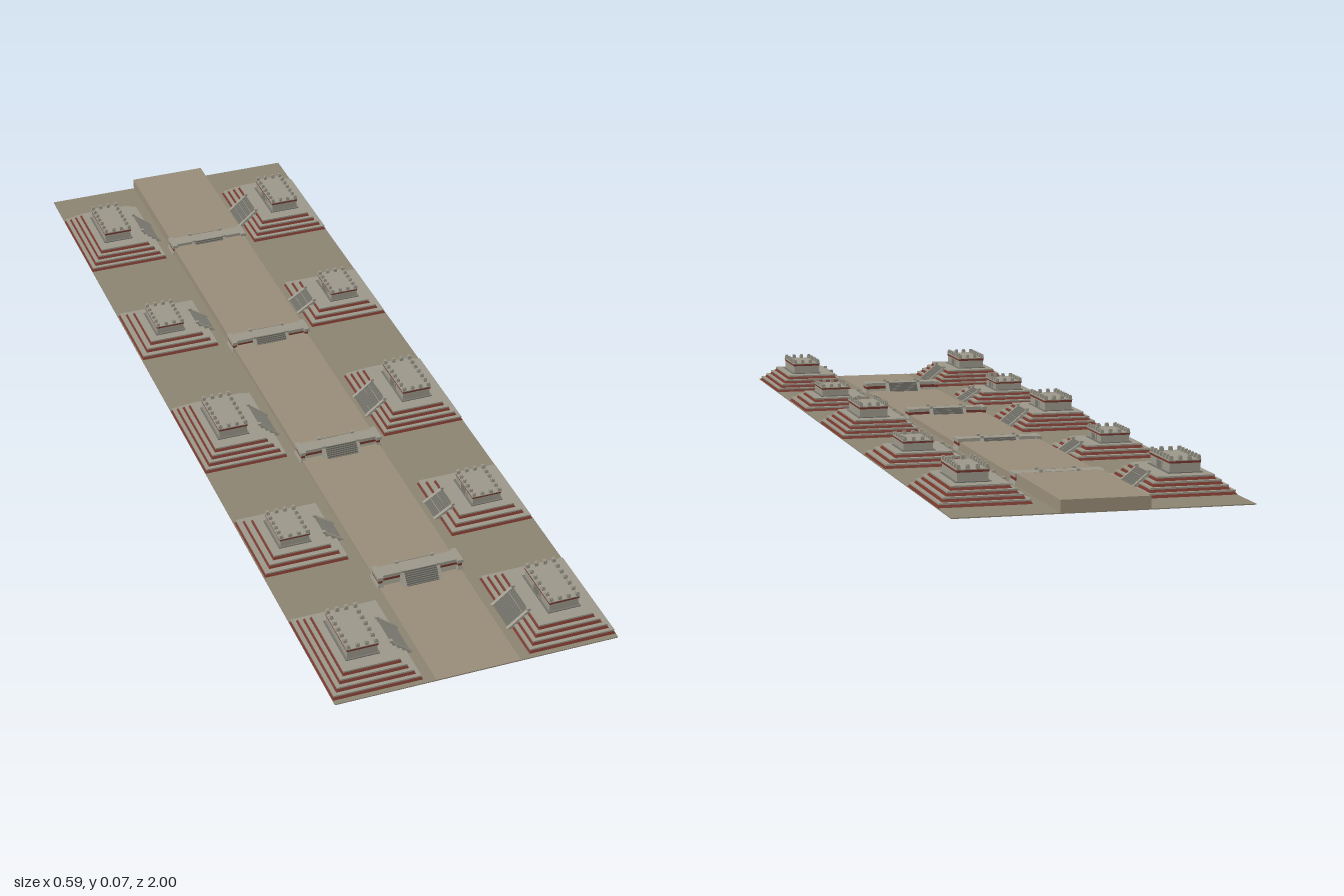
import * as THREE from 'three';

const mat = (color) => new THREE.MeshStandardMaterial({ color, flatShading: true });
const GROUND = mat(0x8c8371), PAVING = mat(0x988c78), STONE = mat(0x9b978a);
const DARK = mat(0x74736b), RED = mat(0x74352a);

function add(parent, name, geometry, material, x = 0, y = 0, z = 0) {
  const mesh = new THREE.Mesh(geometry, material);
  mesh.name = name;
  mesh.position.set(x, y, z);
  parent.add(mesh);
  return mesh;
}

// Box standing on y, given by half widths
function block(parent, name, material, hx, h, hz, x, y, z) {
  return add(parent, name, new THREE.BoxGeometry(hx * 2, h, hz * 2), material, x, y + h / 2, z);
}

// Box whose top is drawn in on every side
function slopedBlock(parent, name, material, hx, h, hz, inset, x, y, z) {
  const mesh = block(parent, name, material, hx, h, hz, x, y, z);
  const p = mesh.geometry.attributes.position;
  for (let i = 0; i < p.count; i++) {
    if (p.getY(i) > 0) {
      p.setX(i, p.getX(i) - Math.sign(p.getX(i)) * inset);
      p.setZ(i, p.getZ(i) - Math.sign(p.getZ(i)) * inset);
    }
  }
  mesh.geometry.computeVertexNormals();
  return mesh;
}

function prism(points, depth) {
  const shape = new THREE.Shape(points.map(([x, y]) => new THREE.Vector2(x, y)));
  const g = new THREE.ExtrudeGeometry(shape, { depth, bevelEnabled: false });
  return g.translate(0, 0, -depth / 2);
}

// Staircase climbing from x = run down to x = 0, with side ramps and posts
function staircase(run, height, halfWidth, steps) {
  const group = new THREE.Group();
  group.name = 'staircase';
  const rail = 0.007;
  const profile = [[0, 0], [run * 0.92, 0]];
  for (let i = 0; i < steps; i++) {
    const x = run * 0.92 * (1 - i / steps), y = height * (i + 1) / steps;
    profile.push([x, y], [run * 0.92 * (1 - (i + 1) / steps), y]);
  }
  profile.pop();
  profile.push([0, height]);
  add(group, 'steps', prism(profile, (halfWidth - rail) * 2), DARK);
  for (const s of [-1, 1]) {
    const z = s * (halfWidth - rail / 2);
    add(group, 'ramp', prism([[0, 0], [run, 0], [run, 0.001], [0.003, height + 0.001], [0, height + 0.001]], rail), STONE, 0, 0, z);
    block(group, 'rampPost', STONE, 0.0035, 0.005, rail / 2, 0.002, height - 0.0005, z);
  }
  return group;
}

// Shrine with doorway, red frieze and a battlement round the roof
function temple(hx, hz, wallH, merlonH) {
  const group = new THREE.Group();
  group.name = 'temple';
  block(group, 'plinth', DARK, hx + 0.003, 0.002, hz + 0.003, 0, 0, 0);
  block(group, 'walls', STONE, hx - 0.001, wallH, hz - 0.001, 0, 0, 0);
  block(group, 'frieze', RED, hx, wallH * 0.18, hz, 0, wallH * 0.76, 0);
  block(group, 'cornice', STONE, hx + 0.001, wallH * 0.08, hz + 0.001, 0, wallH * 0.94, 0);
  block(group, 'doorway', DARK, 0.001, wallH * 0.6, 0.013, hx - 0.0005, 0.001, 0);
  for (const s of [-1, 1]) {
    block(group, 'doorJamb', STONE, 0.0015, wallH * 0.66, 0.002, hx, 0.001, s * 0.015);
  }
  const nx = 4, nz = Math.round(hz / 0.01) + 1, m = 0.0038;
  const merlon = (x, z) => {
    block(group, 'merlon', STONE, m, merlonH * 0.75, m, x, wallH, z);
    block(group, 'merlonCap', STONE, m * 0.8, merlonH * 0.25, m * 0.8, x, wallH + merlonH * 0.75, z);
  };
  for (let i = 0; i < nx; i++) {
    for (const s of [-1, 1]) merlon((hx - m) * (2 * i / (nx - 1) - 1), s * (hz - m));
  }
  for (let i = 1; i < nz - 1; i++) {
    for (const s of [-1, 1]) merlon(s * (hx - m), (hz - m) * (2 * i / (nz - 1) - 1));
  }
  return group;
}

// Tiered pyramid whose staircase faces +x
function pyramid({ tiers, hx, hz, stairHalf, templeHz, wallH, merlonH, step }) {
  const group = new THREE.Group();
  group.name = 'pyramid';
  const h = 0.0088, base = 0.002;
  for (let i = 0; i < tiers; i++) {
    const x = hx - i * step, z = hz - i * step, y = base + i * h;
    slopedBlock(group, 'tierSlope', RED, x, h * 0.62, z, 0.004, 0, y, 0);
    block(group, 'tierPanel', STONE, x - 0.0025, h * 0.38, z - 0.0025, 0, y + h * 0.62, 0);
  }
  const top = base + tiers * h;
  const topX = hx - (tiers - 1) * step - 0.004;
  const stairs = staircase(0.103 - topX, top - base, stairHalf, tiers * 3);
  stairs.position.set(topX, base, 0);
  group.add(stairs);
  const shrine = temple(0.032, templeHz, wallH, merlonH);
  shrine.position.set(-0.008, top, 0);
  group.add(shrine);
  return group;
}

// Low platform crossing the avenue, with stairs on both faces
function crossingPlatform() {
  const group = new THREE.Group();
  group.name = 'crossingPlatform';
  const H = 0.0265;
  const body = (hx, hz, x) => {
    slopedBlock(group, 'platformBase', STONE, hx, 0.011, hz, 0.003, x, 0.001, 0);
    block(group, 'platformBand', RED, hx - 0.003, 0.008, hz - 0.003, x, 0.012, 0);
    block(group, 'platformTop', STONE, hx - 0.001, H - 0.019, hz - 0.001, x, 0.019, 0);
  };
  body(0.088, 0.016, 0);
  for (const s of [-1, 1]) {
    body(0.007, 0.022, s * 0.086);
    const stairs = staircase(0.024, H - 0.001, 0.042, 8);
    stairs.position.set(0, 0.001, s * 0.014);
    stairs.rotation.y = -s * Math.PI / 2;
    group.add(stairs);
  }
  return group;
}

export function createModel() {
  const model = new THREE.Group();
  model.name = 'ceremonialAvenue';
  block(model, 'ground', GROUND, 0.295, 0.002, 1, 0, 0, 0);

  // Avenue rising in level stretches towards the back
  const platforms = [0.68, 0.225, -0.23, -0.68];
  const ends = [1, ...platforms, -1];
  for (let i = 0; i < ends.length - 1; i++) {
    const half = (ends[i] - ends[i + 1]) / 2;
    block(model, 'avenue', PAVING, 0.088, i === 0 ? 0.0025 : i * 0.0066, half, 0, 0, ends[i] - half);
  }
  for (const z of platforms) {
    const platform = crossingPlatform();
    platform.position.z = z;
    model.add(platform);
  }

  // Facing pairs of pyramids, large and small in turn
  const large = { tiers: 4, hx: 0.092, hz: 0.124, stairHalf: 0.042, templeHz: 0.06, wallH: 0.025, merlonH: 0.009, step: 0.0105 };
  const small = { tiers: 3, hx: 0.09, hz: 0.097, stairHalf: 0.033, templeHz: 0.046, wallH: 0.021, merlonH: 0.008, step: 0.0135 };
  [[0.865, large], [0.495, small], [0.09, large], [-0.345, small], [-0.775, large]].forEach(([z, size]) => {
    for (const s of [-1, 1]) {
      const p = pyramid(size);
      p.position.set(s * 0.203, 0, z);
      p.rotation.y = s > 0 ? Math.PI : 0;
      model.add(p);
    }
  });
  return model;
}
